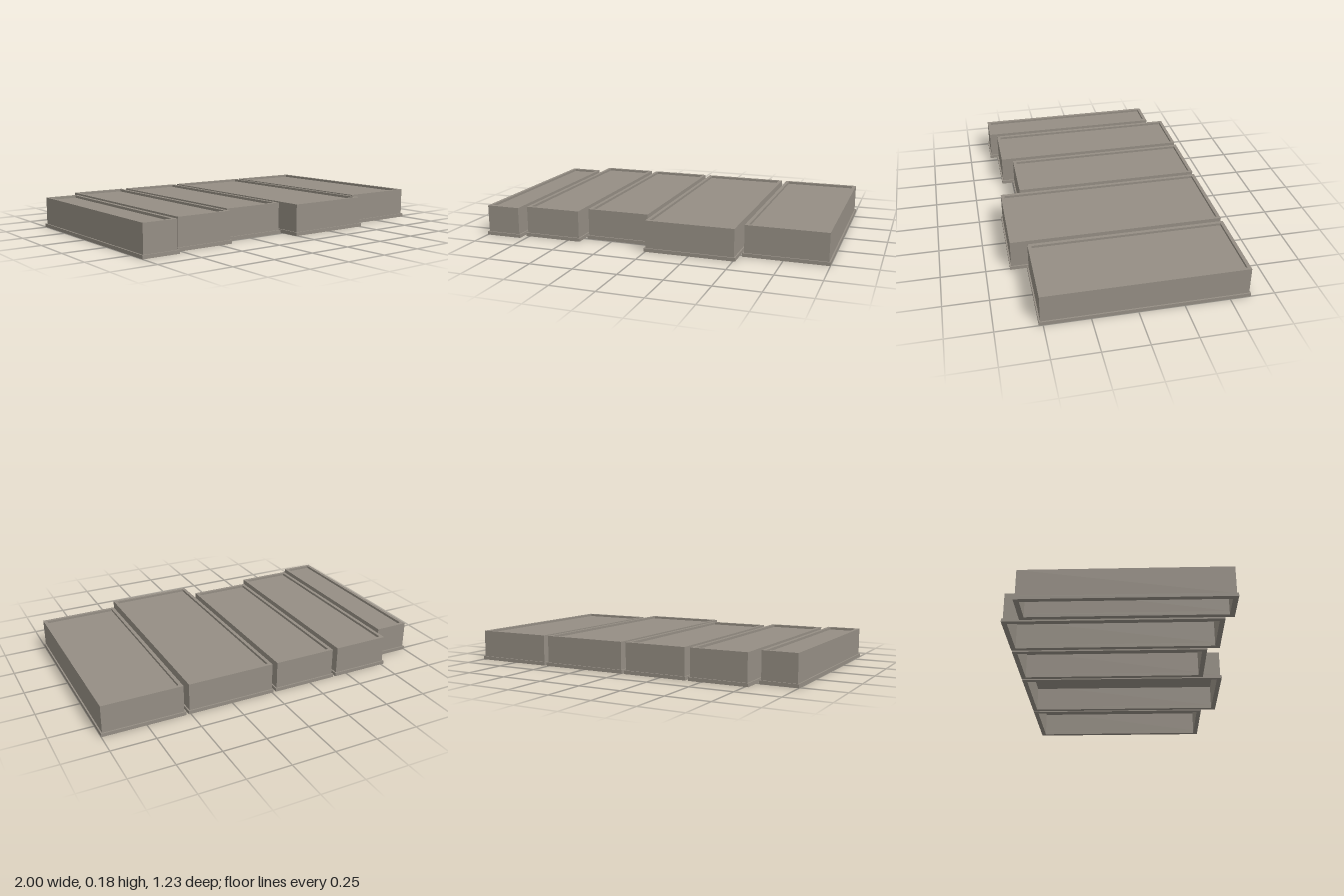
import * as THREE from 'three';

const HEIGHT = 0.177;   // top of the walls
const LIP_HEIGHT = 0.02;
const OVERHANG = 0.008; // lip beyond the walls
const WALL = 0.02;

// Footprints of the lips, from right to left: x0, x1, z0 (back), z1 (front)
const FOOTPRINTS = [
  [-1.0, -0.785, -0.515, 0.613],
  [-0.768, -0.423, -0.615, 0.567],
  [-0.406, -0.024, -0.615, 0.498],
  [-0.009, 0.512, -0.615, 0.615],
  [0.527, 1.0, -0.615, 0.522],
];

function trace(path, w, d) {
  path.moveTo(-w / 2, -d / 2);
  path.lineTo(w / 2, -d / 2);
  path.lineTo(w / 2, d / 2);
  path.lineTo(-w / 2, d / 2);
  path.closePath();
  return path;
}

// Rectangular ring standing between y0 and y1
function frame(w, d, innerW, innerD, y0, y1) {
  const shape = trace(new THREE.Shape(), w, d);
  shape.holes.push(trace(new THREE.Path(), innerW, innerD));
  const geometry = new THREE.ExtrudeGeometry(shape, { depth: y1 - y0, bevelEnabled: false });
  return geometry.rotateX(-Math.PI / 2).translate(0, y0, 0);
}

export function createModel() {
  const model = new THREE.Group();
  model.name = 'trayRow';
  const stone = new THREE.MeshStandardMaterial({ color: 0x958e84 });
  stone.name = 'warmGrey';

  FOOTPRINTS.forEach(([x0, x1, z0, z1], i) => {
    const tray = new THREE.Group();
    tray.name = `tray${i + 1}`;
    tray.position.set((x0 + x1) / 2, 0, (z0 + z1) / 2);
    const w = x1 - x0, d = z1 - z0;
    const wallW = w - 2 * OVERHANG, wallD = d - 2 * OVERHANG;
    const innerW = wallW - 2 * WALL, innerD = wallD - 2 * WALL;

    const add = (name, geometry) => {
      const mesh = new THREE.Mesh(geometry, stone);
      mesh.name = name;
      tray.add(mesh);
    };
    // Open-bottomed shell with a lip at the foot and a slightly sunken top
    add('bottomLip', frame(w, d, innerW, innerD, 0, LIP_HEIGHT));
    add('walls', frame(wallW, wallD, innerW, innerD, LIP_HEIGHT, HEIGHT));
    add('topPanel', new THREE.BoxGeometry(innerW, 0.01, innerD).translate(0, 0.158, 0));
    model.add(tray);
  });
  return model;
}
